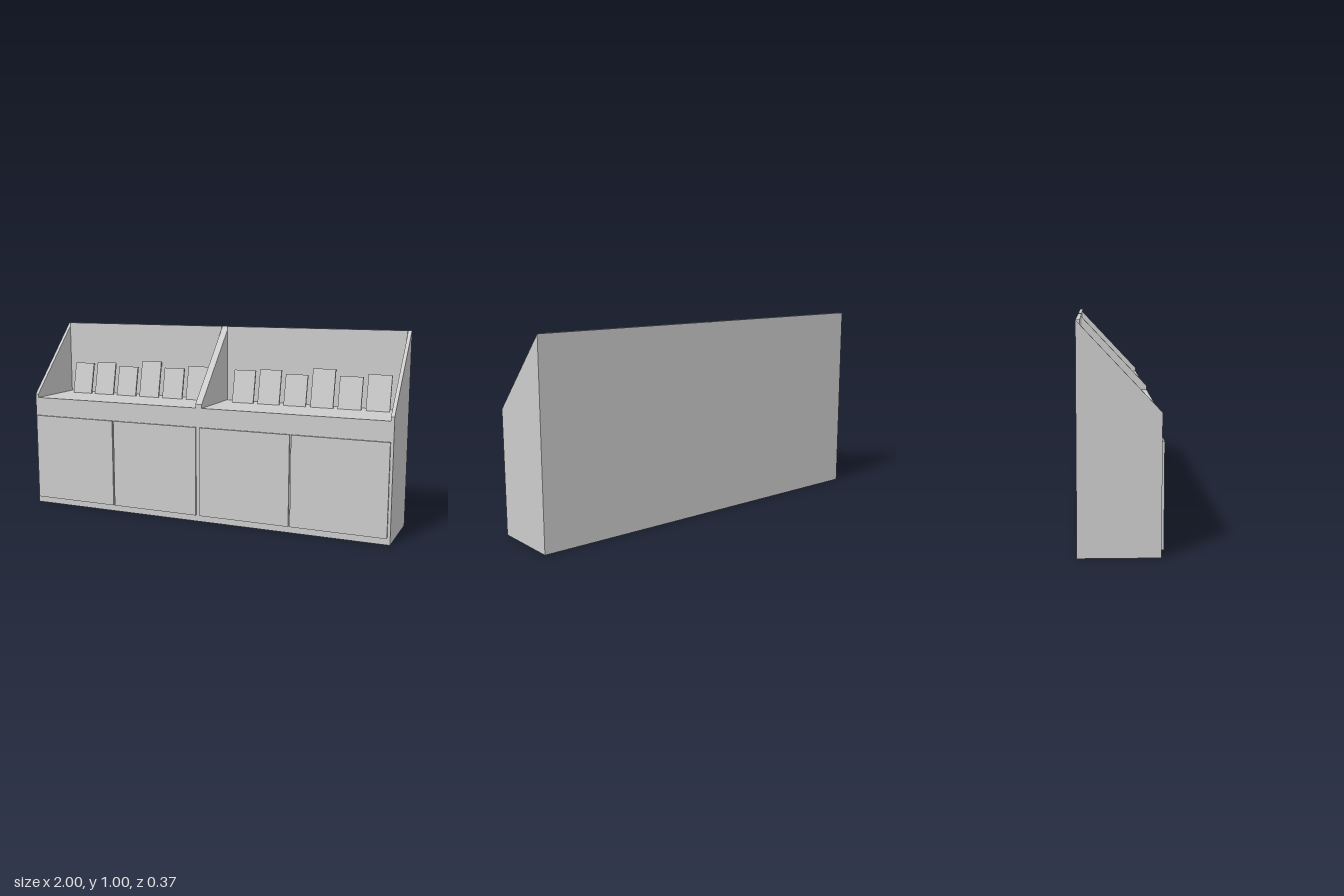
import * as THREE from 'three';

const BACK = -0.183, FRONT = 0.175, PANEL = 0.018;
const FLOOR = 0.6, LEAN = 0.21;

export function createModel() {
  const model = new THREE.Group();
  model.name = 'displayCabinet';
  const grey = new THREE.MeshStandardMaterial({ color: 0xcccccc });
  grey.name = 'grey';

  const add = (parent, name, geometry) => {
    const mesh = new THREE.Mesh(geometry, grey);
    mesh.name = name;
    parent.add(mesh);
    return mesh;
  };
  // Box given by its minimum and maximum corners
  const box = (parent, name, x0, x1, y0, y1, z0, z1) =>
    add(parent, name, new THREE.BoxGeometry(x1 - x0, y1 - y0, z1 - z0)
      .translate((x0 + x1) / 2, (y0 + y1) / 2, (z0 + z1) / 2));

  // Side profile with sloping top, drawn in (-z, y) and turned to face +x
  const profile = new THREE.Shape([
    [-FRONT, 0], [-BACK, 0], [-BACK, 1], [-FRONT, 0.62],
  ].map(([x, y]) => new THREE.Vector2(x, y)));
  const sideGeometry = new THREE.ExtrudeGeometry(profile, { depth: PANEL, bevelEnabled: false })
    .rotateY(Math.PI / 2);

  const cardTops = [0.772, 0.78, 0.762, 0.797, 0.765, 0.78];

  // Two identical units side by side
  ['rightUnit', 'leftUnit'].forEach((name, i) => {
    const unit = new THREE.Group();
    unit.name = name;
    unit.position.x = i - 1;
    model.add(unit);

    // Carcass
    for (const x of [0, 1 - PANEL]) add(unit, 'sidePanel', sideGeometry).position.x = x;
    box(unit, 'backPanel', PANEL, 1 - PANEL, 0, 1, BACK, BACK + PANEL);
    box(unit, 'frontPanel', PANEL, 1 - PANEL, 0, FLOOR, FRONT - PANEL, FRONT);
    box(unit, 'shelf', PANEL, 1 - PANEL, FLOOR - PANEL, FLOOR, BACK + PANEL, FRONT - PANEL);
    box(unit, 'bottomPanel', PANEL, 1 - PANEL, 0, PANEL, BACK + PANEL, FRONT - PANEL);

    // Doors
    for (const x of [0.008, 0.501]) box(unit, 'door', x, x + 0.485, 0.033, 0.5, FRONT, FRONT + 0.01);

    // Cards leaning back on the shelf
    cardTops.forEach((top, k) => {
      const h = (top - FLOOR) / Math.cos(LEAN);
      const card = box(unit, 'card', -0.06, 0.06, 0, h, -0.01, 0);
      card.position.set(0.138 + k * 0.145, FLOOR, -0.088);
      card.rotation.x = -LEAN;
    });
  });

  return model;
}
